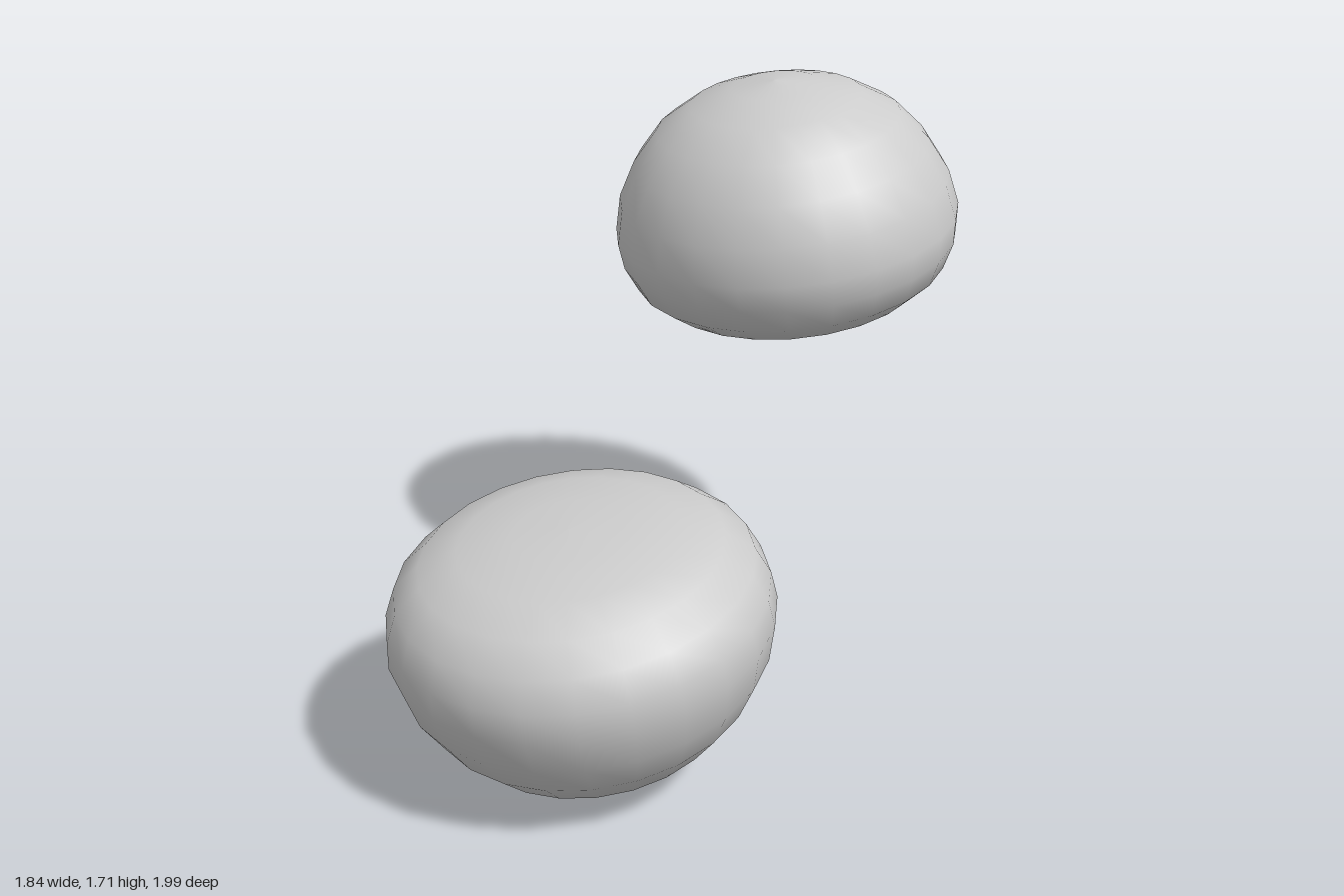
import * as THREE from 'three';

// Half profile of one dome, from the nearly flat base up to the crown: [radius, height]
const PROFILE = [
  [0, -0.275], [0.15, -0.272], [0.3, -0.252], [0.41, -0.213], [0.485, -0.15],
  [0.52, -0.07], [0.53, 0.01], [0.505, 0.12], [0.45, 0.225], [0.37, 0.32],
  [0.26, 0.39], [0.13, 0.432], [0, 0.447],
];

export function createModel() {
  const group = new THREE.Group();
  const material = new THREE.MeshStandardMaterial({ color: 0xcccccc });
  const geometry = new THREE.LatheGeometry(
    PROFILE.map(([r, y]) => new THREE.Vector2(r, y)), 24);

  // Two identical tilted domes, flat sides facing each other across the centre
  const up = new THREE.Vector3(0, 1, 0);
  const centre = new THREE.Vector3(0, 0.855, 0);
  for (const [name, side] of [['upperDome', 1], ['lowerDome', -1]]) {
    const dome = new THREE.Mesh(geometry, material);
    dome.name = name;
    dome.position.set(0.397, 0.405, -0.47).multiplyScalar(side).add(centre);
    const axis = new THREE.Vector3(-0.13, 1, 0.11).normalize().multiplyScalar(side);
    dome.quaternion.setFromUnitVectors(up, axis);
    group.add(dome);
  }
  return group;
}
